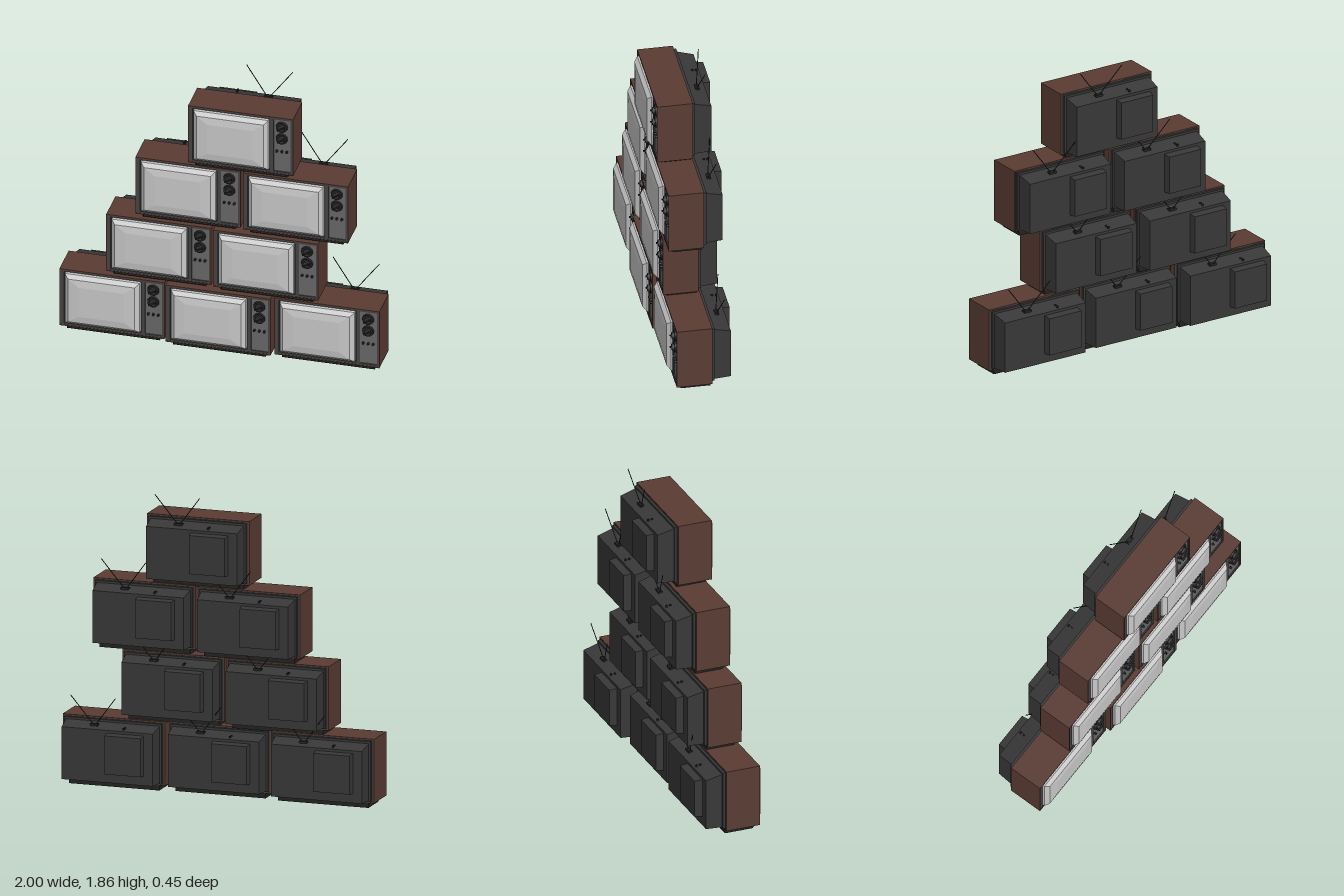
import * as THREE from 'three';

const mat = (name, color) => {
  const m = new THREE.MeshStandardMaterial({ color });
  m.name = name;
  return m;
};

export function createModel() {
  const brown = mat('brown cabinet', 0x5a3c33);
  const dark = mat('dark housing', 0x383838);
  const trim = mat('bezel grey', 0x444444);
  const panelGrey = mat('panel grey', 0x686868);
  const glass = mat('screen grey', 0xcacaca);
  const black = mat('black plastic', 0x232323);

  // rectangle outline, optionally with rectangular holes, as [x0, x1, y0, y1]
  const trace = (p, [x0, x1, y0, y1]) =>
    p.moveTo(x0, y0).lineTo(x1, y0).lineTo(x1, y1).lineTo(x0, y1).closePath();
  const frame = (outer, holes, z0, z1) => {
    const s = trace(new THREE.Shape(), outer);
    for (const h of holes) s.holes.push(trace(new THREE.Path(), h));
    return new THREE.ExtrudeGeometry(s, { depth: z1 - z0, bevelEnabled: false }).translate(0, 0, z0);
  };
  const block = ([x0, x1, y0, y1], z0, z1) =>
    new THREE.BoxGeometry(x1 - x0, y1 - y0, z1 - z0).translate((x0 + x1) / 2, (y0 + y1) / 2, (z0 + z1) / 2);

  // solid through rectangular sections [x0, x1, y0, y1, z], ordered back to front
  const loft = (sections) => {
    const pos = [];
    const ring = ([x0, x1, y0, y1, z]) => [[x0, y0, z], [x1, y0, z], [x1, y1, z], [x0, y1, z]];
    const quad = (a, b, c, d) => pos.push(...a, ...b, ...c, ...a, ...c, ...d);
    const rings = sections.map(ring);
    for (let i = 0; i < rings.length - 1; i++) {
      for (let k = 0; k < 4; k++) {
        const n = (k + 1) % 4;
        quad(rings[i][k], rings[i][n], rings[i + 1][n], rings[i + 1][k]);
      }
    }
    const f = rings[0], l = rings[rings.length - 1];
    quad(f[3], f[2], f[1], f[0]);
    quad(l[0], l[1], l[2], l[3]);
    const g = new THREE.BufferGeometry();
    g.setAttribute('position', new THREE.Float32BufferAttribute(pos, 3));
    g.computeVertexNormals();
    return g;
  };

  const rod = (a, b, r) => {
    const p = new THREE.Vector3(...a), q = new THREE.Vector3(...b);
    const d = q.clone().sub(p);
    const g = new THREE.CylinderGeometry(r, r, d.length(), 6);
    g.applyQuaternion(new THREE.Quaternion().setFromUnitVectors(new THREE.Vector3(0, 1, 0), d.normalize()));
    return g.translate(...p.add(q).multiplyScalar(0.5).toArray());
  };
  const disc = (x, y, z0, z1, r, sides) =>
    new THREE.CylinderGeometry(r * 0.92, r, z1 - z0, sides).rotateX(Math.PI / 2).translate(x, y, (z0 + z1) / 2);

  const parts = [];
  const part = (name, geometry, material) => parts.push({ name, geometry, material });

  // cabinet shell, inner body and front bezel
  const inner = [-0.321, 0.321, 0.039, 0.423];
  const screenHole = [-0.3, 0.182, 0.052, 0.413];
  const panelHole = [0.206, 0.313, 0.052, 0.413];
  part('cabinet', frame([-0.328, 0.328, 0.033, 0.43], [inner], -0.035, 0.184), brown);
  part('innerBody', block(inner, -0.036, 0.168), dark);
  part('bezel', frame(inner, [screenHole, panelHole], 0.168, 0.182), trim);
  part('base', loft([
    [-0.29, 0.29, 0, 0.034, -0.03], [-0.29, 0.29, 0, 0.034, 0.15], [-0.28, 0.28, 0.012, 0.034, 0.168],
  ]), black);

  // bulging picture tube
  part('screen', loft([
    [-0.294, 0.176, 0.058, 0.407, 0.168], [-0.292, 0.174, 0.06, 0.405, 0.19],
    [-0.268, 0.15, 0.083, 0.382, 0.213], [-0.2, 0.085, 0.13, 0.335, 0.22],
  ]), glass);

  // control panel with dials and buttons
  part('controlPanel', block(panelHole, 0.168, 0.175), panelGrey);
  for (const y of [0.363, 0.281]) {
    part('dialRing', disc(0.256, y, 0.175, 0.188, 0.037, 16), black);
    part('dialCap', disc(0.256, y, 0.188, 0.202, 0.022, 12), dark);
    part('dialGrip', new THREE.BoxGeometry(0.05, 0.009, 0.012).rotateZ(0.5).translate(0.256, y, 0.204), black);
  }
  for (const x of [0.226, 0.257, 0.288]) part('button', disc(x, 0.193, 0.175, 0.19, 0.008, 8), black);

  // stepped rear housing
  part('rearCollar', block([-0.312, 0.312, 0.045, 0.418], -0.052, -0.035), dark);
  part('rearHousing', loft([
    [-0.292, 0.292, 0.053, 0.378, -0.155], [-0.3, 0.3, 0.05, 0.405, -0.05],
  ]), dark);
  part('tubeCover', loft([
    [-0.23, 0, 0.116, 0.355, -0.203], [-0.235, 0.005, 0.112, 0.362, -0.15],
  ]), dark);
  for (const z of [-0.137, -0.112]) {
    part('rearStud', new THREE.CylinderGeometry(0.007, 0.007, 0.012, 8).translate(-0.1, 0.39, z), black);
  }

  // pair of antenna rods
  part('antennaMount', block([0.075, 0.125, 0.385, 0.402], -0.115, -0.09), black);
  for (const s of [-1, 1]) {
    part('antennaRod', rod([0.1 + s * 0.008, 0.395, -0.1], [0.1 + s * 0.146, 0.574, -0.132 + s * 0.007], 0.0027), black);
  }

  // stacked sets: centre x, bottom y, shift in z
  const places = [
    [-0.672, 0, -0.022], [-0.003, 0, 0.003], [0.671, 0, -0.02],
    [-0.38, 0.427, -0.022], [0.293, 0.427, -0.006],
    [-0.197, 0.858, -0.02], [0.479, 0.858, -0.006],
    [0.137, 1.282, 0],
  ];
  const model = new THREE.Group();
  model.name = 'televisionStack';
  places.forEach(([x, y, z], i) => {
    const set = new THREE.Group();
    set.name = `television${i + 1}`;
    for (const { name, geometry, material } of parts) {
      const mesh = new THREE.Mesh(geometry, material);
      mesh.name = name;
      set.add(mesh);
    }
    set.position.set(x, y, z);
    model.add(set);
  });
  return model;
}
